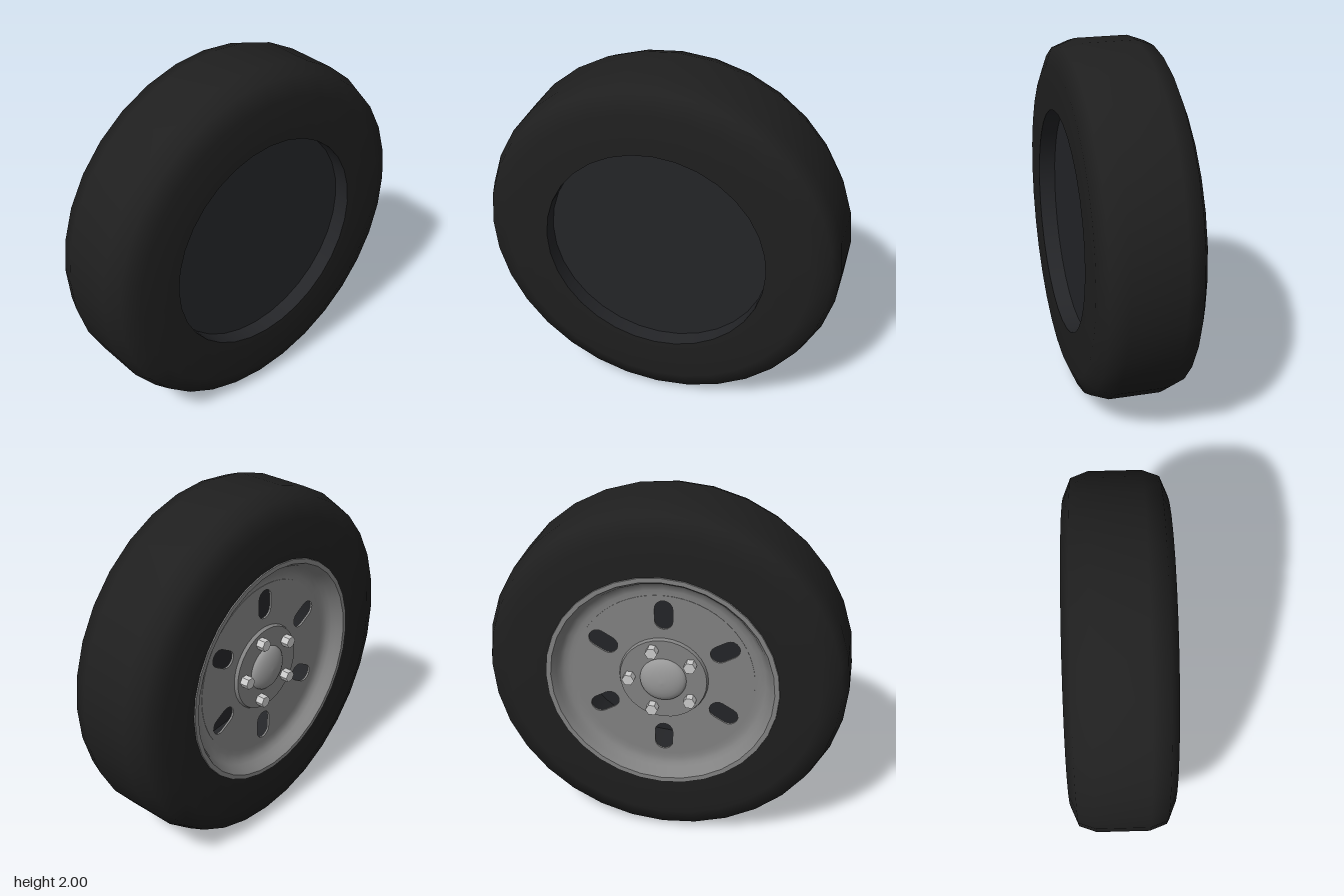
import * as THREE from 'three';
import { toCreasedNormals } from 'three/addons/utils/BufferGeometryUtils.js';

const SIDES = 32;
const paint = (color, side = THREE.FrontSide) => new THREE.MeshStandardMaterial({ color, side });
const rubber = paint(0x1f1f1f);
const innerRubber = paint(0x242528, THREE.DoubleSide);
const steel = paint(0x828282, THREE.DoubleSide);
const cap = paint(0x999999);
const chrome = paint(0xcccccc);

// Revolve [radius, x] points around the x axis
function revolve(name, profile, material, crease) {
  let geometry = new THREE.LatheGeometry(profile.map(([r, x]) => new THREE.Vector2(r, x)), SIDES);
  geometry.rotateZ(-Math.PI / 2);
  if (crease) geometry = toCreasedNormals(geometry, crease);
  const mesh = new THREE.Mesh(geometry, material);
  mesh.name = name;
  return mesh;
}

// Round-ended slot lying along a radius at the given angle
function slotPath(angle, radius, length, width) {
  const half = (length - width) / 2;
  const points = [];
  for (const end of [1, -1]) {
    for (let i = 0; i <= 8; i++) {
      const t = -Math.PI / 2 + (i / 8) * Math.PI + (end < 0 ? Math.PI : 0);
      const p = new THREE.Vector2(end * half + Math.cos(t) * width / 2, Math.sin(t) * width / 2);
      p.x += radius;
      points.push(p.rotateAround(new THREE.Vector2(), angle));
    }
  }
  return new THREE.Path(points);
}

export function createModel() {
  const wheel = new THREE.Group();
  wheel.name = 'wheel';

  // Tyre carcass with chamfered shoulders
  wheel.add(revolve('tyre', [
    [0.62, -0.284], [0.86, -0.284], [0.965, -0.24], [1, -0.145],
    [1, 0.145], [0.965, 0.24], [0.86, 0.284], [0.62, 0.284],
  ], rubber));

  // Inner barrel and the recessed disc closing the inboard side
  wheel.add(revolve('innerBarrel', [[0.62, 0.284], [0.62, -0.284]], innerRubber));
  wheel.add(revolve('inboardDisc', [[0.62, 0.19], [0, 0.19]], innerRubber));

  // Rim: curved bowl, bright bevel and rolled lip
  wheel.add(revolve('rim', [
    [0.49, -0.205], [0.53, -0.203], [0.56, -0.212], [0.58, -0.23], [0.592, -0.255],
    [0.61, -0.282], [0.615, -0.29], [0.64, -0.29], [0.643, -0.28],
  ], steel, 0.6));

  // Wheel plate with six radial slots
  const plateShape = new THREE.Shape().absarc(0, 0, 0.5, 0, Math.PI * 2);
  for (let i = 0; i < 6; i++) {
    plateShape.holes.push(slotPath(Math.PI / 2 + i * Math.PI / 3, 0.385, 0.17, 0.1));
  }
  const plateGeometry = new THREE.ExtrudeGeometry(plateShape, { depth: 0.012, bevelEnabled: false, curveSegments: SIDES });
  plateGeometry.rotateY(-Math.PI / 2).translate(-0.195, 0, 0);
  const plate = new THREE.Mesh(plateGeometry, steel);
  plate.name = 'slottedPlate';
  wheel.add(plate);

  // Raised hub flange and domed centre cap
  wheel.add(revolve('hubFlange', [[0, -0.226], [0.24, -0.226], [0.25, -0.2]], steel, 0.5));
  const dome = [];
  for (let i = 0; i <= 6; i++) {
    const t = (i / 6) * Math.PI / 2;
    dome.push([0.13 * Math.sin(t), -0.222 - 0.05 * Math.cos(t)]);
  }
  wheel.add(revolve('centreCap', dome, cap));

  // Five hexagonal wheel nuts
  const nuts = new THREE.Group();
  nuts.name = 'wheelNuts';
  const nutGeometry = new THREE.CylinderGeometry(0.034, 0.034, 0.055, 6);
  nutGeometry.rotateZ(Math.PI / 2);
  const nutMaterial = chrome.clone();
  nutMaterial.flatShading = true;
  for (let i = 0; i < 5; i++) {
    const a = Math.PI + i * Math.PI * 2 / 5;
    const nut = new THREE.Mesh(nutGeometry, nutMaterial);
    nut.name = 'wheelNut';
    nut.position.set(-0.245, 0.187 * Math.sin(a), 0.187 * Math.cos(a));
    nuts.add(nut);
  }
  wheel.add(nuts);

  // Stand the wheel on the ground
  const model = new THREE.Group();
  model.name = 'roadWheel';
  wheel.position.y = 1;
  model.add(wheel);
  return model;
}
